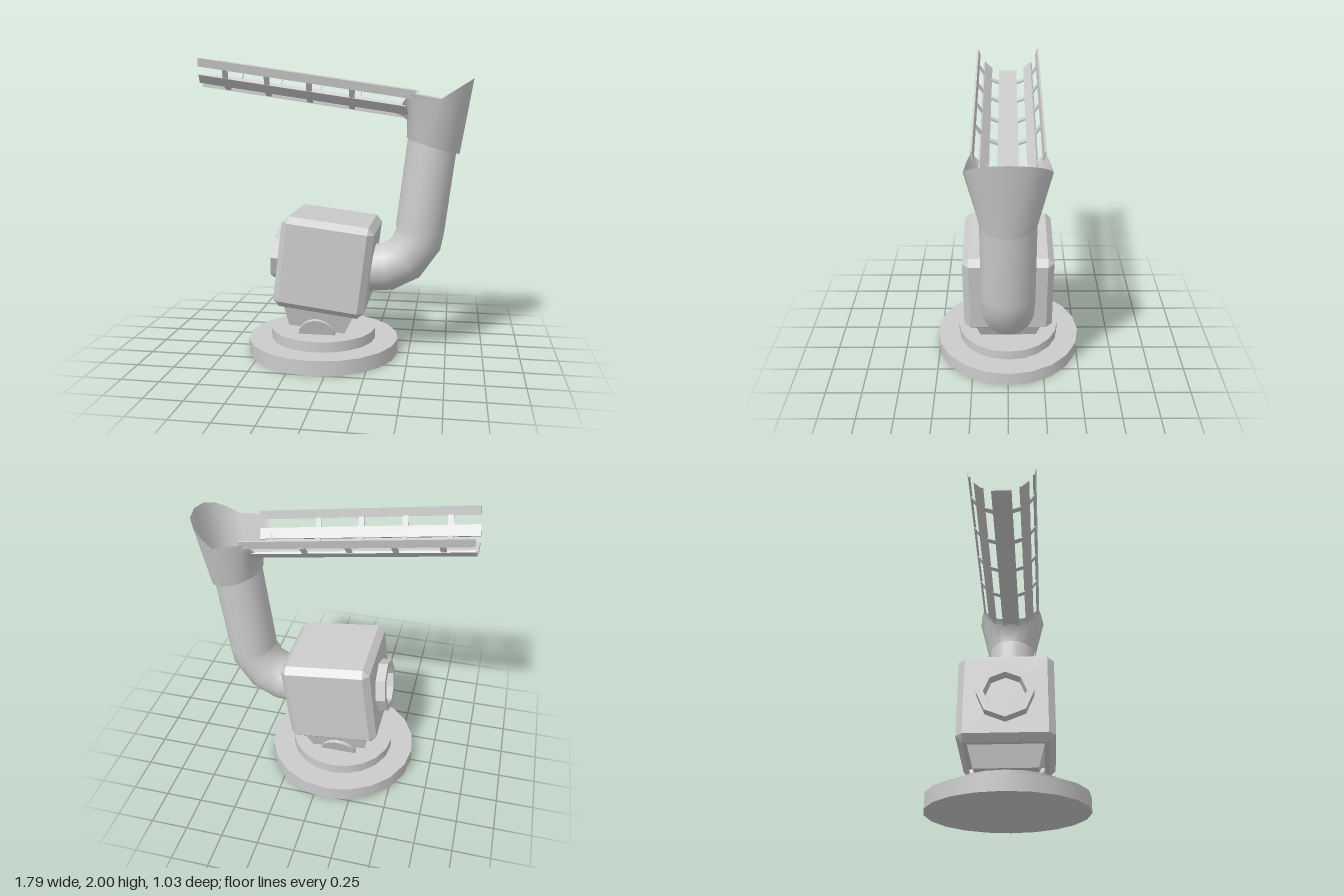
import * as THREE from 'three';
import { ConvexGeometry } from 'three/addons/geometries/ConvexGeometry.js';

const V = (x, y, z) => new THREE.Vector3(x, y, z);
const grey = new THREE.MeshStandardMaterial({ color: 0xcccccc });
const shell = new THREE.MeshStandardMaterial({ color: 0xcccccc, side: THREE.DoubleSide });
const faceted = new THREE.MeshStandardMaterial({ color: 0xcccccc, flatShading: true, side: THREE.DoubleSide });

function add(parent, name, geometry, material = grey, x = 0, y = 0, z = 0) {
  const mesh = new THREE.Mesh(geometry, material);
  mesh.name = name;
  mesh.position.set(x, y, z);
  parent.add(mesh);
  return mesh;
}

// Smooth skin through closed rings with equal point counts
function loft(rings) {
  const n = rings[0].length, index = [];
  for (let r = 0; r < rings.length - 1; r++) {
    for (let i = 0; i < n; i++) {
      const a = r * n + i, b = r * n + (i + 1) % n;
      index.push(a, a + n, b, b, a + n, b + n);
    }
  }
  const g = new THREE.BufferGeometry().setFromPoints(rings.flat());
  g.setIndex(index);
  g.computeVertexNormals();
  return g;
}

// Box with every edge chamfered
function chamferBox(h, c) {
  const pts = [], s = [-1, 1], k = h - c;
  for (const x of s) for (const y of s) for (const z of s) {
    pts.push(V(x * h, y * k, z * k), V(x * k, y * h, z * k), V(x * k, y * k, z * h));
  }
  return new ConvexGeometry(pts);
}

function buildBase(model) {
  add(model, 'basePlate', new THREE.CylinderGeometry(0.516, 0.516, 0.1, 20), grey, -0.09, 0.05);
  add(model, 'baseStep', new THREE.CylinderGeometry(0.36, 0.36, 0.08, 20), grey, -0.09, 0.13);
  // Leaning hinge discs, lower halves sunk into the base
  for (const s of [-1, 1]) {
    const ear = add(model, 'hingeDisc', new THREE.CylinderGeometry(0.125, 0.125, 0.03, 24), grey, -0.103, 0.16, s * 0.187);
    ear.rotation.x = Math.PI / 2 + s * 0.31;
  }
}

function buildBody(model) {
  const body = new THREE.Group();
  body.name = 'tiltedBody';
  body.position.set(-0.05, 0.645, 0);
  body.rotation.z = -7 * Math.PI / 180;
  model.add(body);
  add(body, 'housing', chamferBox(0.305, 0.042));

  // Tapered foot under the housing
  const foot = [];
  for (const x of [-1, 1]) for (const z of [-1, 1]) {
    foot.push(V(x * 0.24, -0.29, z * 0.24), V(x * 0.19, -0.443, z * 0.198));
  }
  add(body, 'foot', new ConvexGeometry(foot));

  // Eight-sided recessed port
  const profile = [[0.18, 0], [0.18, 0.07], [0.135, 0.07], [0.125, 0.015], [0, 0.015]];
  const port = add(body, 'port', new THREE.LatheGeometry(profile.map(p => new THREE.Vector2(...p)), 8), faceted, -0.3, -0.01);
  port.rotation.z = Math.PI / 2;

  // Bent pipe: centre x, centre y, heading in degrees
  const path = [[0.2, -0.008, 0], [0.31, -0.008, 0], [0.402, 0.013, 22], [0.513, 0.09, 45], [0.581, 0.23, 72], [0.582, 0.3, 90], [0.582, 0.9, 90]];
  const sides = 20;
  const rings = path.map(([x, y, deg]) => {
    const a = deg * Math.PI / 180;
    return Array.from({ length: sides }, (_, i) => {
      const t = -i / sides * Math.PI * 2, r = 0.162 * Math.cos(t);
      return V(x - Math.sin(a) * r, y + Math.cos(a) * r, 0.17 * Math.sin(t));
    });
  });
  add(body, 'bentPipe', loft(rings), shell);
}

// Funnel with a high lip on one side and a spout on the other
function buildFunnel(model) {
  const half = [[0.895, 1.865, 0], [0.878, 1.853, 0.11], [0.83, 1.823, 0.185], [0.765, 1.782, 0.23], [0.69, 1.735, 0.25],
    [0.585, 1.752, 0.235], [0.49, 1.768, 0.212], [0.45, 1.71, 0.178], [0.415, 1.645, 0.1], [0.4, 1.628, 0]];
  const rim = half.concat(half.slice(1, -1).reverse().map(([x, y, z]) => [x, y, -z]));
  const angles = [0, 22.5, 45, 67.5, 90, 108, 126, 144, 162, 180];
  const rings = [[], [], []];
  rim.forEach(([x, y, z], i) => {
    const a = (i < 10 ? angles[i] : 360 - angles[18 - i]) * Math.PI / 180, c = Math.cos(a);
    const bx = 0.64 + 0.173 * c, by = 1.43 - 0.29 * (bx - 0.64), bz = 0.18 * Math.sin(a);
    // The wall stays upright on the spout side before flaring out
    const w = c >= 0 ? 0.8 : 0.8 * (1 + c);
    rings[0].push(V(bx, by, bz));
    rings[1].push(V(bx + (x - bx) * w, by + (y - by) * 0.8, bz + (z - bz) * 0.8));
    rings[2].push(V(x, y, z));
  });
  add(model, 'funnel', loft(rings), shell);
}

function buildTrough(model) {
  const trough = new THREE.Group();
  trough.name = 'slattedTrough';
  trough.position.set(-0.9, 1.81, 0);
  trough.rotation.z = -8.4 * Math.PI / 180;
  model.add(trough);

  // Plank spanning two cross-section points (z, height)
  const plank = (name, [z0, y0], [z1, y1], start, length, thick) => {
    const g = new THREE.BoxGeometry(length, thick, Math.hypot(z1 - z0, y1 - y0));
    const m = add(trough, name, g, grey, start + length / 2, (y0 + y1) / 2, (z0 + z1) / 2);
    m.rotation.x = -Math.atan2(y1 - y0, z1 - z0);
  };

  plank('bottomSlat', [-0.063, 0.01], [0.063, 0.01], 0, 1.42, 0.018);
  for (const s of [-1, 1]) {
    plank('middleSlat', [s * 0.117, 0.03], [s * 0.168, 0.083], 0, 1.42, 0.014);
    plank('topSlat', [s * 0.202, 0.132], [s * 0.212, 0.186], 0, 1.42, 0.012);
    for (let i = 0; i < 4; i++) {
      const u = 0.165 + i * 0.28;
      plank('lowerRib', [s * 0.058, 0.01], [s * 0.12, 0.034], u, 0.035, 0.012);
      plank('upperRib', [s * 0.165, 0.08], [s * 0.204, 0.138], u, 0.035, 0.012);
    }
  }
}

export function createModel() {
  const model = new THREE.Group();
  model.name = 'tiltedPipeWithTrough';
  buildBase(model);
  buildBody(model);
  buildFunnel(model);
  buildTrough(model);
  return model;
}
